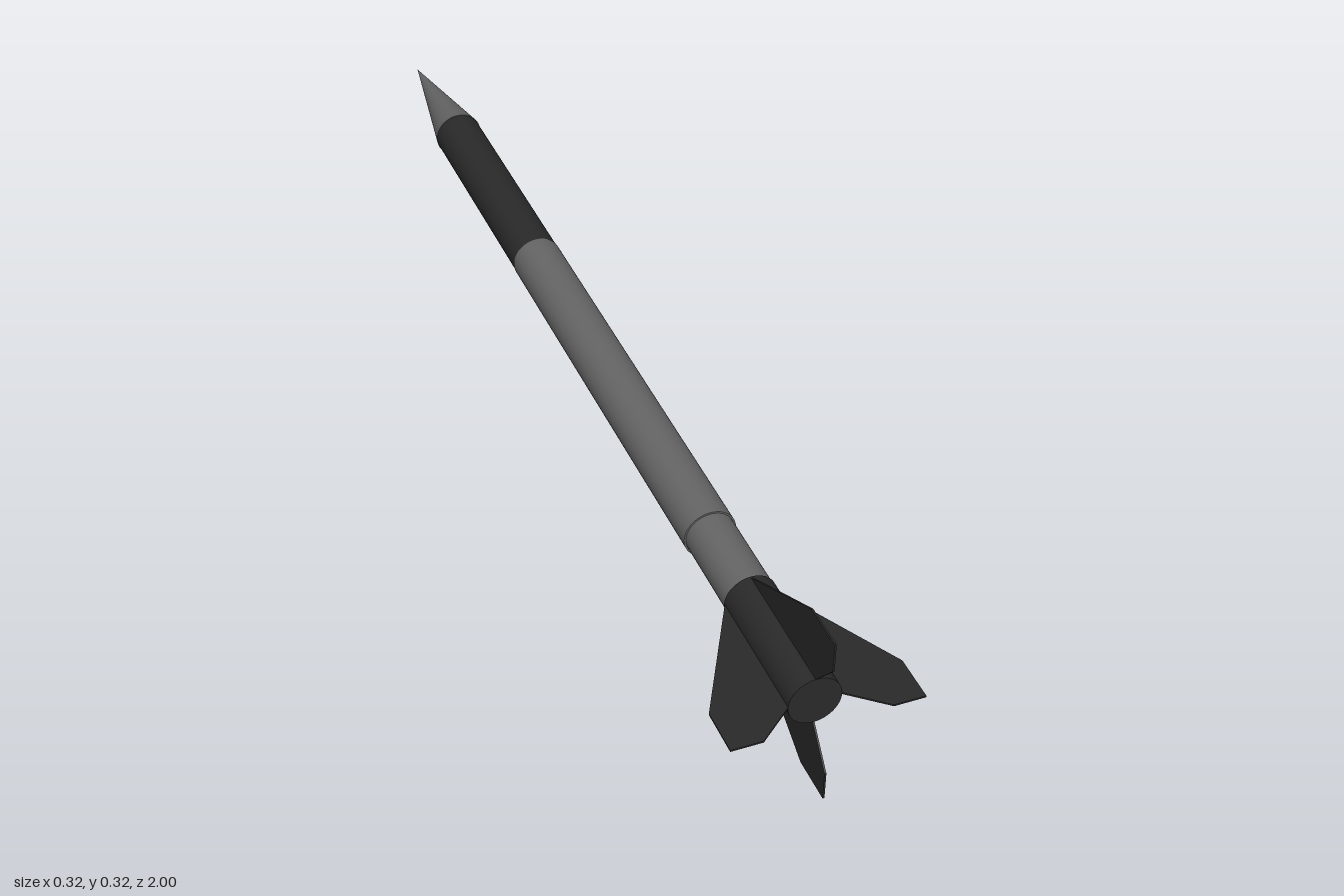
import * as THREE from 'three';

const AXIS_Y = 0.158;
const R = 0.045;
const SEGMENTS = 48;

export function createModel() {
  const model = new THREE.Group();
  const grey = new THREE.MeshStandardMaterial({ color: 0x666666 });
  const dark = new THREE.MeshStandardMaterial({ color: 0x2a2a2a });

  // everything is built around the z axis, then lifted onto its lower fin
  const rocket = new THREE.Group();
  rocket.name = 'rocket';
  rocket.position.y = AXIS_Y;
  model.add(rocket);

  // closed round section from zFront to zBack
  function section(name, zFront, zBack, rFront, rBack, material) {
    const geometry = new THREE.CylinderGeometry(rBack, rFront, zBack - zFront, SEGMENTS);
    geometry.rotateX(Math.PI / 2);
    geometry.translate(0, 0, (zFront + zBack) / 2);
    const mesh = new THREE.Mesh(geometry, material);
    mesh.name = name;
    rocket.add(mesh);
  }

  section('noseCone', -1, -0.73, 0, R, grey);
  section('upperTube', -0.73, -0.27, 0.044, 0.044, dark);
  section('mainTube', -0.27, 0.55, R, R, grey);
  section('tailTube', 0.55, 0.71, 0.042, 0.042, grey);
  section('finCan', 0.71, 0.95, 0.044, 0.044, dark);

  // swept fin outline: x = distance from the axis, y = position along z
  const outline = [[0.04, 0.705], [0.158, 0.92], [0.158, 1], [0.105, 1], [0.044, 0.95], [0.04, 0.95]];
  const thickness = 0.003;
  const finGeometry = new THREE.ExtrudeGeometry(
    new THREE.Shape(outline.map(([r, z]) => new THREE.Vector2(r, z))),
    { depth: thickness, bevelEnabled: false }
  );
  finGeometry.translate(0, 0, -thickness / 2);
  finGeometry.rotateX(Math.PI / 2);

  ['leftFin', 'topFin', 'rightFin', 'bottomFin'].forEach((name, i) => {
    const fin = new THREE.Mesh(finGeometry, dark);
    fin.name = name;
    fin.rotation.z = (i * Math.PI) / 2;
    rocket.add(fin);
  });

  return model;
}
